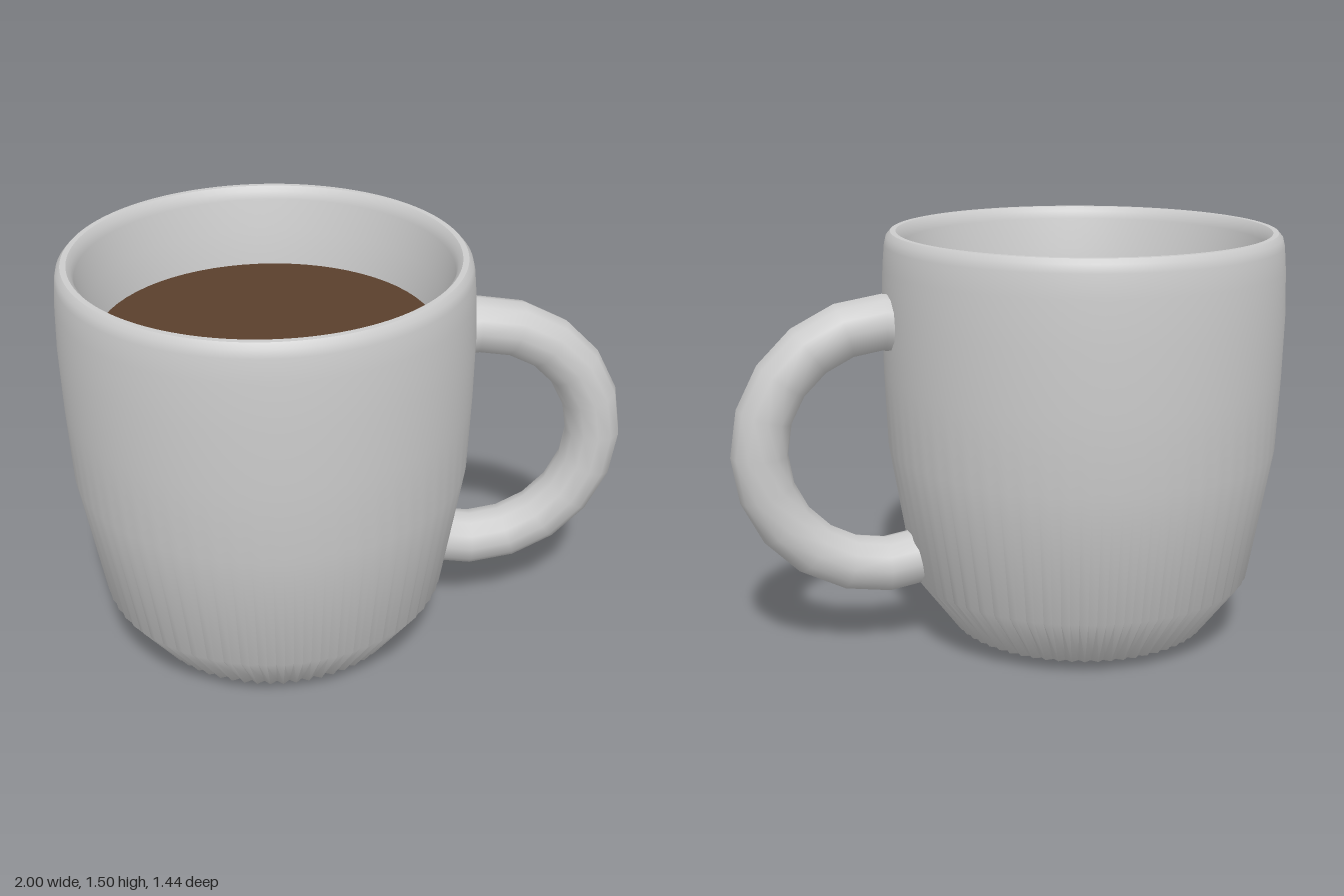
import * as THREE from 'three';
import { toCreasedNormals } from 'three/addons/utils/BufferGeometryUtils.js';

const CUP_X = -0.28;
const SEGMENTS = 128;

// Cup wall from the base centre, up the outside, over the rim and down the inside.
// Third value: depth of the pleats pressed into that ring.
const PROFILE = [
  [0, 0.005, 0], [0.2, 0.018, 0], [0.44, 0.036, 0.015], [0.475, 0.05, 0.02],
  [0.625, 0.25, 0.006], [0.705, 0.73, 0], [0.716, 1.0, 0], [0.72, 1.22, 0],
  [0.714, 1.38, 0], [0.707, 1.46, 0], [0.7, 1.488, 0], [0.685, 1.505, 0], [0.665, 1.505, 0],
  [0.65, 1.488, 0], [0.642, 1.46, 0], [0.62, 1.34, 0], [0.59, 1.2, 0],
  [0.57, 0.7, 0], [0.5, 0.3, 0], [0, 0.2, 0],
];

function createCupGeometry() {
  const points = PROFILE.map(([r, y]) => new THREE.Vector2(r, y));
  const geometry = new THREE.LatheGeometry(points, SEGMENTS);
  const pos = geometry.attributes.position;
  // Pull every second column inwards to pleat the foot
  for (let i = 1; i < SEGMENTS; i += 2) {
    PROFILE.forEach(([r, , depth], j) => {
      if (!depth) return;
      const k = i * PROFILE.length + j;
      const s = (r - depth) / r;
      pos.setX(k, pos.getX(k) * s);
      pos.setZ(k, pos.getZ(k) * s);
    });
  }
  return toCreasedNormals(geometry, 0.7);
}

export function createModel() {
  const group = new THREE.Group();
  const ceramic = new THREE.MeshStandardMaterial({ color: 0xcccccc });
  const coffeeMaterial = new THREE.MeshStandardMaterial({ color: 0x5a3f2c });

  const add = (name, geometry, material, x, y) => {
    const mesh = new THREE.Mesh(geometry, material);
    mesh.name = name;
    mesh.position.set(x, y, 0);
    group.add(mesh);
    return mesh;
  };

  add('cup', createCupGeometry(), ceramic, CUP_X, 0);

  // Coffee surface
  add('coffee', new THREE.CircleGeometry(0.594, 64).rotateX(-Math.PI / 2), coffeeMaterial, CUP_X, 1.22);

  // Handle: an arc whose upper end pokes through the wall and dips into the coffee
  const half = THREE.MathUtils.degToRad(126);
  const handle = new THREE.TorusGeometry(0.443, 0.1, 12, 14, half * 2).rotateZ(-half);
  add('handle', handle, ceramic, 0.457, 0.768);

  return group;
}
